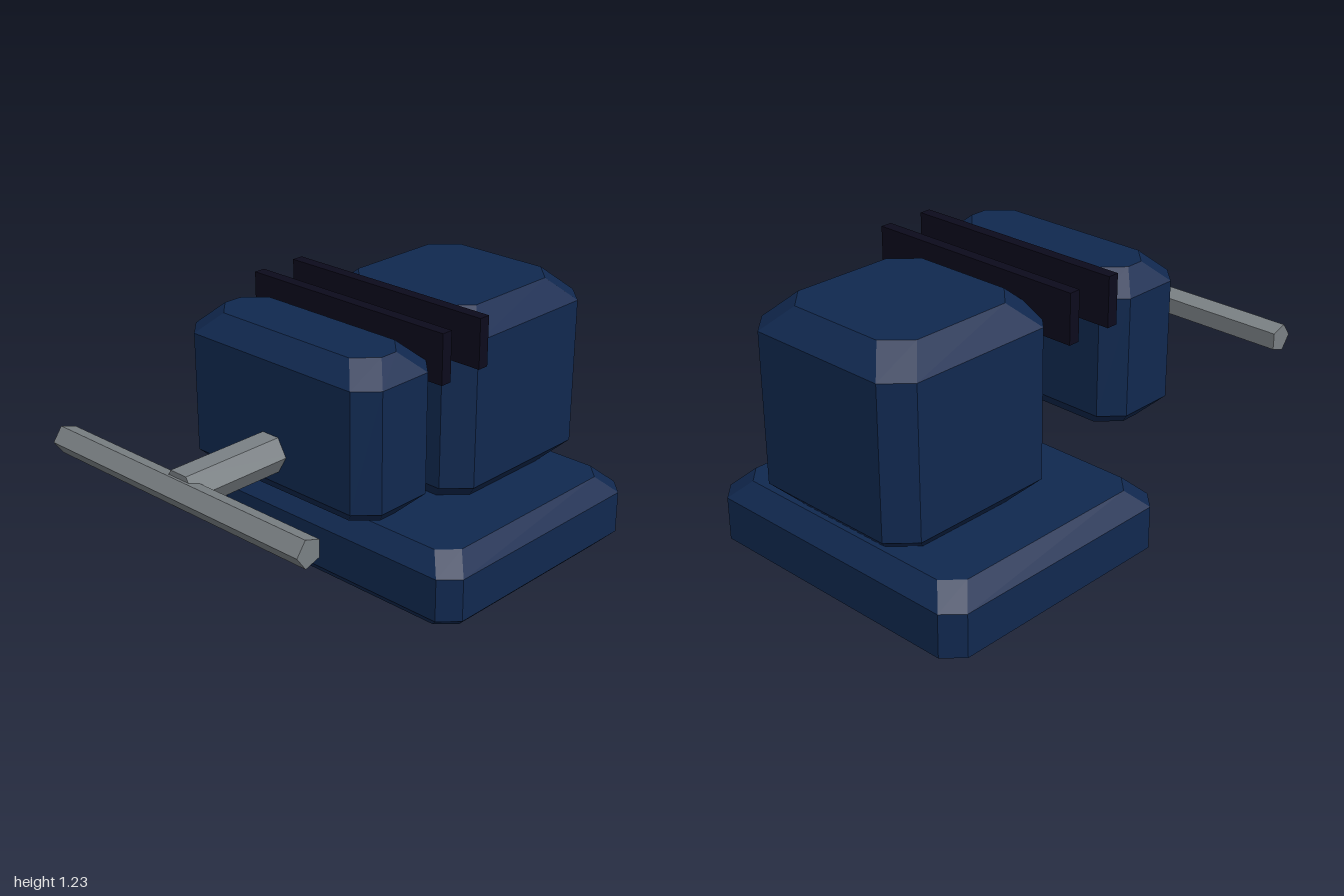
import * as THREE from 'three';

const blue = new THREE.MeshStandardMaterial({ name: 'blue paint', color: 0x10284f, flatShading: true });
const dark = new THREE.MeshStandardMaterial({ name: 'dark jaw', color: 0x0c0a1c, flatShading: true });
const steel = new THREE.MeshStandardMaterial({ name: 'grey steel', color: 0x7a8084, flatShading: true });

// Octagonal outline of a rectangle with cut corners, counter-clockwise seen from above
function octagon(hx, hz, cut, y) {
  return [
    [hx, cut - hz], [hx - cut, -hz], [cut - hx, -hz], [-hx, cut - hz],
    [-hx, hz - cut], [cut - hx, hz], [hx - cut, hz], [hx, hz - cut],
  ].map(([x, z]) => [x, y, z]);
}

// Box with all edges chamfered, built from four octagonal loops
function chamferedBox(x, y0, y1, z0, z1, c) {
  const hx = x, hz = (z1 - z0) / 2;
  const loops = [
    octagon(hx - c, hz - c, c, y0),
    octagon(hx, hz, c, y0 + c),
    octagon(hx, hz, c, y1 - c),
    octagon(hx - c, hz - c, c, y1),
  ];
  const pos = [];
  const tri = (a, b, d) => pos.push(...a, ...b, ...d);
  for (let l = 0; l < 3; l++) {
    for (let i = 0; i < 8; i++) {
      const j = (i + 1) % 8, lo = loops[l], hi = loops[l + 1];
      tri(lo[i], lo[j], hi[j]);
      tri(lo[i], hi[j], hi[i]);
    }
  }
  for (let i = 1; i < 7; i++) {
    tri(loops[3][0], loops[3][i], loops[3][i + 1]);
    tri(loops[0][0], loops[0][i + 1], loops[0][i]);
  }
  const g = new THREE.BufferGeometry();
  g.setAttribute('position', new THREE.Float32BufferAttribute(pos, 3));
  g.translate(0, 0, (z0 + z1) / 2);
  g.computeVertexNormals();
  return g;
}

export function createModel() {
  const model = new THREE.Group();
  model.name = 'benchVise';
  const add = (name, geometry, material) => {
    const mesh = new THREE.Mesh(geometry, material);
    mesh.name = name;
    model.add(mesh);
    return mesh;
  };

  // Painted castings
  add('base', chamferedBox(0.675, 0, 0.34, -1, 0.18, 0.076), blue);
  add('fixedJaw', chamferedBox(0.42, 0.34, 1.18, -1, -0.155, 0.1), blue);
  add('slidingJaw', chamferedBox(0.506, 0.51, 1.18, 0.06, 0.475, 0.084), blue);

  // Gripping plates
  for (const [name, z] of [['fixedJawPlate', -0.18], ['slidingJawPlate', 0.038]]) {
    add(name, new THREE.BoxGeometry(1.012, 0.21, 0.05), dark).position.set(0, 1.121, z);
  }

  // Hexagonal screw, flat side up
  const screw = new THREE.CylinderGeometry(0.084, 0.084, 0.54, 6, 1, false, Math.PI / 6);
  add('screw', screw.rotateX(Math.PI / 2), steel).position.set(0, 0.72, 0.67);

  // Five-sided handle bar, one edge facing forward
  const bar = new THREE.CylinderGeometry(0.06, 0.06, 1.35, 5);
  add('handleBar', bar.rotateZ(Math.PI / 2), steel).position.set(0, 0.72, 0.94);

  return model;
}
